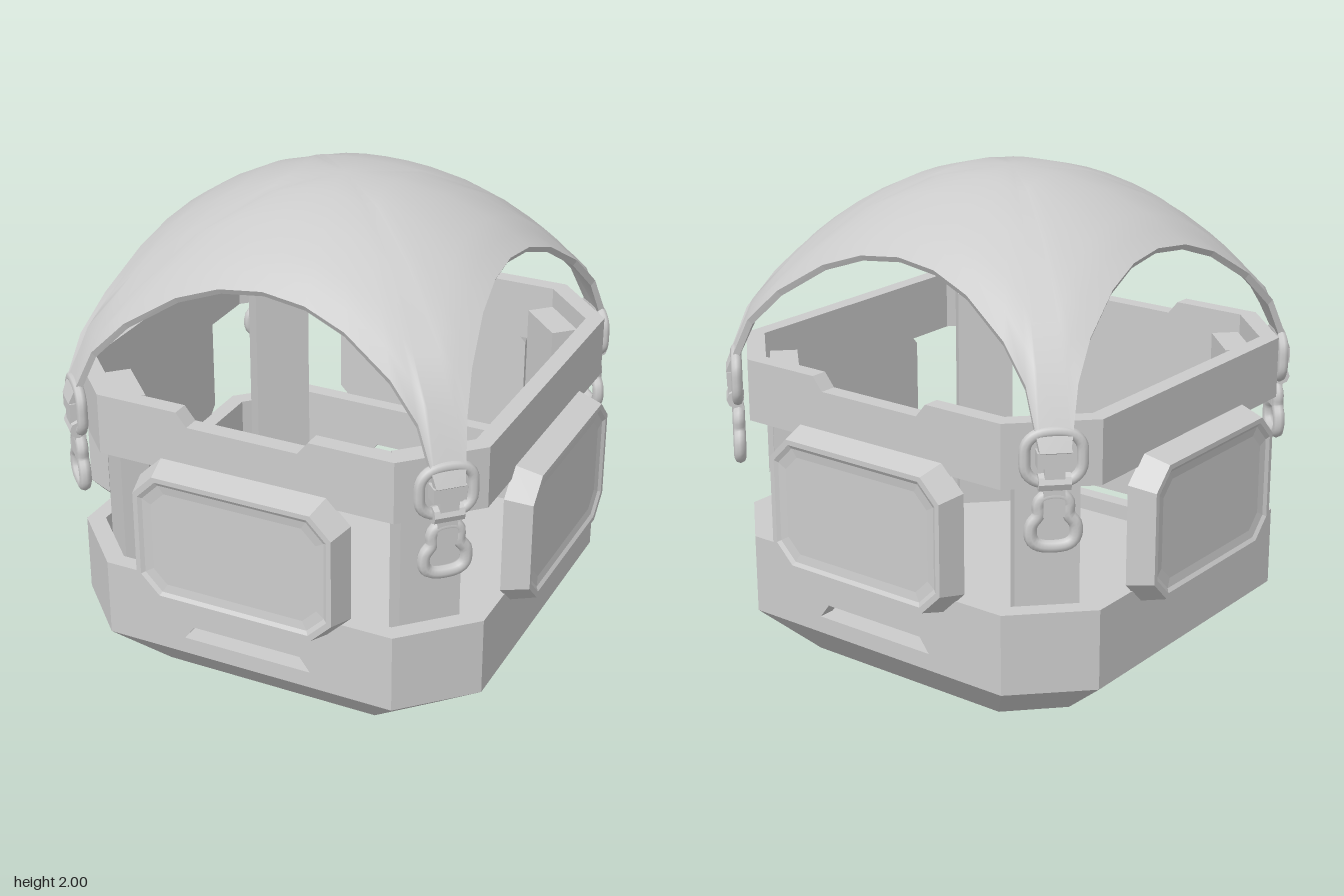
import * as THREE from 'three';

const grey = new THREE.MeshStandardMaterial({ color: 0xcccccc });
const flat = new THREE.MeshStandardMaterial({ color: 0xcccccc, flatShading: true });

function add(parent, name, geometry, material = flat) {
  const mesh = new THREE.Mesh(geometry, material);
  mesh.name = name;
  parent.add(mesh);
  return mesh;
}

// Counter-clockwise eight-sided outline: half sizes a, b and flat half lengths fa, fb
const octagon = (a, b, fa, fb) => [
  [a, -fb], [a, fb], [fa, b], [-fa, b], [-a, fb], [-a, -fb], [-fa, -b], [fa, -b]];

// Flat-sided solid through outlines stacked along z
function loft(loops) {
  const pos = [];
  const n = loops[0].pts.length;
  const put = (l, i) => pos.push(...l.pts[i % n], l.z);
  for (let k = 0; k + 1 < loops.length; k++) {
    const a = loops[k], b = loops[k + 1];
    for (let i = 0; i < n; i++) {
      put(a, i); put(a, i + 1); put(b, i + 1);
      put(a, i); put(b, i + 1); put(b, i);
    }
  }
  const first = loops[0], last = loops[loops.length - 1];
  for (let i = 1; i < n - 1; i++) {
    put(first, 0); put(first, i + 1); put(first, i);
    put(last, 0); put(last, i); put(last, i + 1);
  }
  const g = new THREE.BufferGeometry();
  g.setAttribute('position', new THREE.Float32BufferAttribute(pos, 3));
  g.computeVertexNormals();
  return g;
}

const shapeOf = pts => new THREE.Shape(pts.map(p => new THREE.Vector2(...p)));
const extrude = (shape, depth) => new THREE.ExtrudeGeometry(shape, { depth, bevelEnabled: false });

// Octagonal wall ring: two bent side walls plus a front and back wall of given outline
function wallRing(name, y0, y1, outline, slot) {
  const ring = new THREE.Group();
  ring.name = name;
  const side = shapeOf([[0.63, -0.895], [0.895, -0.63], [0.895, 0.63], [0.63, 0.895],
    [0.595, 0.825], [0.825, 0.595], [0.825, -0.595], [0.595, -0.825]]);
  const face = shapeOf(outline);
  if (slot) face.holes.push(new THREE.Path(slot.map(p => new THREE.Vector2(...p))));
  for (const turn of [0, Math.PI]) {
    add(ring, 'sideWall', extrude(side, y1 - y0).rotateX(-Math.PI / 2).translate(0, y0, 0).rotateY(turn));
    add(ring, turn ? 'backWall' : 'frontWall', extrude(face, 0.07).translate(0, 0, 0.825).rotateY(turn));
  }
  return ring;
}

// Height of the canopy cloth, dropping faster at the corner tips
function clothHeight(x, z) {
  const a = t => 0.243 * Math.pow(Math.abs(t) / 0.71, 2.2);
  return 2 - a(x) - a(z) - 0.85 * Math.max(0, Math.abs(x) + Math.abs(z) - 1.5);
}

function canopy() {
  const group = new THREE.Group();
  group.name = 'canopy';
  // Half of one scalloped edge, mirrored over the diagonal and turned four times
  const half = [[0, 0.705], [0.18, 0.715], [0.355, 0.74], [0.56, 0.785], [0.69, 0.825], [0.76, 0.855], [0.785, 0.865]];
  const quarter = [...half, ...half.slice(1).reverse().map(([x, z]) => [z, x])];
  const rim = [];
  for (let k = 0, q = quarter; k < 4; k++, q = q.map(([x, z]) => [z, -x])) rim.push(...q);
  const n = rim.length;
  const steps = [0.28, 0.54, 0.78, 0.9, 1];

  const sheet = under => {
    const pos = [0, under ? 1.975 : 2, 0], idx = [];
    const tri = (a, b, c) => under ? idx.push(a, c, b) : idx.push(a, b, c);
    for (const s of steps) {
      for (const [x, z] of rim) {
        const k = under ? s * 0.983 : s;
        pos.push(x * k, clothHeight(x * s, z * s) - (under ? 0.022 : 0), z * k);
      }
    }
    for (let r = 0; r < steps.length; r++) {
      for (let i = 0; i < n; i++) {
        const j = (i + 1) % n, o = 1 + r * n, p = o - n;
        if (r === 0) tri(0, o + i, o + j);
        else {
          tri(p + i, o + i, o + j);
          tri(p + i, o + j, p + j);
        }
      }
    }
    const g = new THREE.BufferGeometry();
    g.setAttribute('position', new THREE.Float32BufferAttribute(pos, 3));
    g.setIndex(idx);
    g.computeVertexNormals();
    return g;
  };
  const top = sheet(false), bottom = sheet(true);
  add(group, 'clothTop', top, grey);
  add(group, 'clothUnderside', bottom, grey);

  // Narrow hem joining both sheets
  const hem = [], o = 1 + (steps.length - 1) * n;
  const put = (g, i) => {
    const p = g.attributes.position, v = o + i % n;
    hem.push(p.getX(v), p.getY(v), p.getZ(v));
  };
  for (let i = 0; i < n; i++) {
    put(bottom, i); put(bottom, i + 1); put(top, i + 1);
    put(bottom, i); put(top, i + 1); put(top, i);
  }
  const hemGeometry = new THREE.BufferGeometry();
  hemGeometry.setAttribute('position', new THREE.Float32BufferAttribute(hem, 3));
  hemGeometry.computeVertexNormals();
  add(group, 'clothHem', hemGeometry);
  return group;
}

// Closed wire link from its right half, listed top to bottom
function link(half, radius) {
  const pts = [...half, ...half.slice().reverse().map(([x, y]) => [-x, y])];
  const curve = new THREE.CatmullRomCurve3(pts.map(([x, y]) => new THREE.Vector3(x, y, 0)), true, 'centripetal');
  return new THREE.TubeGeometry(curve, 40, radius, 8, true);
}

function clip() {
  const g = new THREE.Group();
  g.name = 'clip';
  add(g, 'upperLink', link([[0.06, 1.255], [0.1, 1.22], [0.107, 1.165], [0.1, 1.11], [0.06, 1.075]], 0.022), grey);
  add(g, 'sleeve', new THREE.BoxGeometry(0.13, 0.06, 0.06).translate(0, 1.165, 0.01));
  add(g, 'strap', new THREE.BoxGeometry(0.075, 0.1, 0.035).translate(0, 1.11, 0.02));
  add(g, 'hinge', new THREE.CylinderGeometry(0.035, 0.035, 0.12, 8).rotateZ(Math.PI / 2).translate(0, 1.075, 0.01));
  add(g, 'tongue', new THREE.BoxGeometry(0.08, 0.15, 0.045).translate(0, 1.015, 0));
  add(g, 'lowerLink', link([[0.035, 1.015], [0.055, 0.99], [0.055, 0.945], [0.082, 0.905], [0.08, 0.85], [0.05, 0.825]], 0.025), grey);
  return g;
}

export function createModel() {
  const model = new THREE.Group();
  model.name = 'canopiedBasket';

  // Tapered floor
  add(model, 'base', loft([
    { pts: octagon(0.665, 0.7, 0.47, 0.5), z: 0 },
    { pts: octagon(0.895, 0.895, 0.63, 0.63), z: 0.2 },
  ]).rotateX(-Math.PI / 2));

  // Lower wall with slots, upper rail with notches
  model.add(wallRing('lowerWall', 0.2, 0.53,
    [[-0.63, 0.2], [0.63, 0.2], [0.63, 0.53], [-0.63, 0.53]],
    [[-0.28, 0.27], [-0.235, 0.33], [0.235, 0.33], [0.28, 0.27]]));
  model.add(wallRing('upperRail', 1.03, 1.285,
    [[-0.63, 1.03], [0.63, 1.03], [0.63, 1.285], [0.28, 1.285], [0.235, 1.23],
      [-0.235, 1.23], [-0.28, 1.285], [-0.63, 1.285]]));

  // Padded panels with a shallow recess, one per side
  const panel = loft([[0, 0.89], [0.03, 1], [0.05, 1], [0.065, 0.99], [0.1, 0.985]].map(([inset, z]) => ({
    pts: octagon(0.455 - inset, 0.303 - inset, 0.355 - inset * 0.6, 0.203 - inset * 0.6), z,
  }))).translate(0, 0.77, 0);

  for (let k = 0; k < 4; k++) {
    const turn = k * Math.PI / 2;
    add(model, 'sidePanel', panel).rotation.y = turn;

    // Corner post and canopy clip
    const corner = new THREE.Group();
    corner.name = 'corner';
    corner.rotation.y = turn + Math.PI / 4;
    add(corner, 'post', new THREE.BoxGeometry(0.247, 1.02, 0.113).translate(0, 0.71, 0.93));
    const hook = clip();
    hook.position.z = 1.124;
    corner.add(hook);
    model.add(corner);
  }

  model.add(canopy());
  return model;
}
